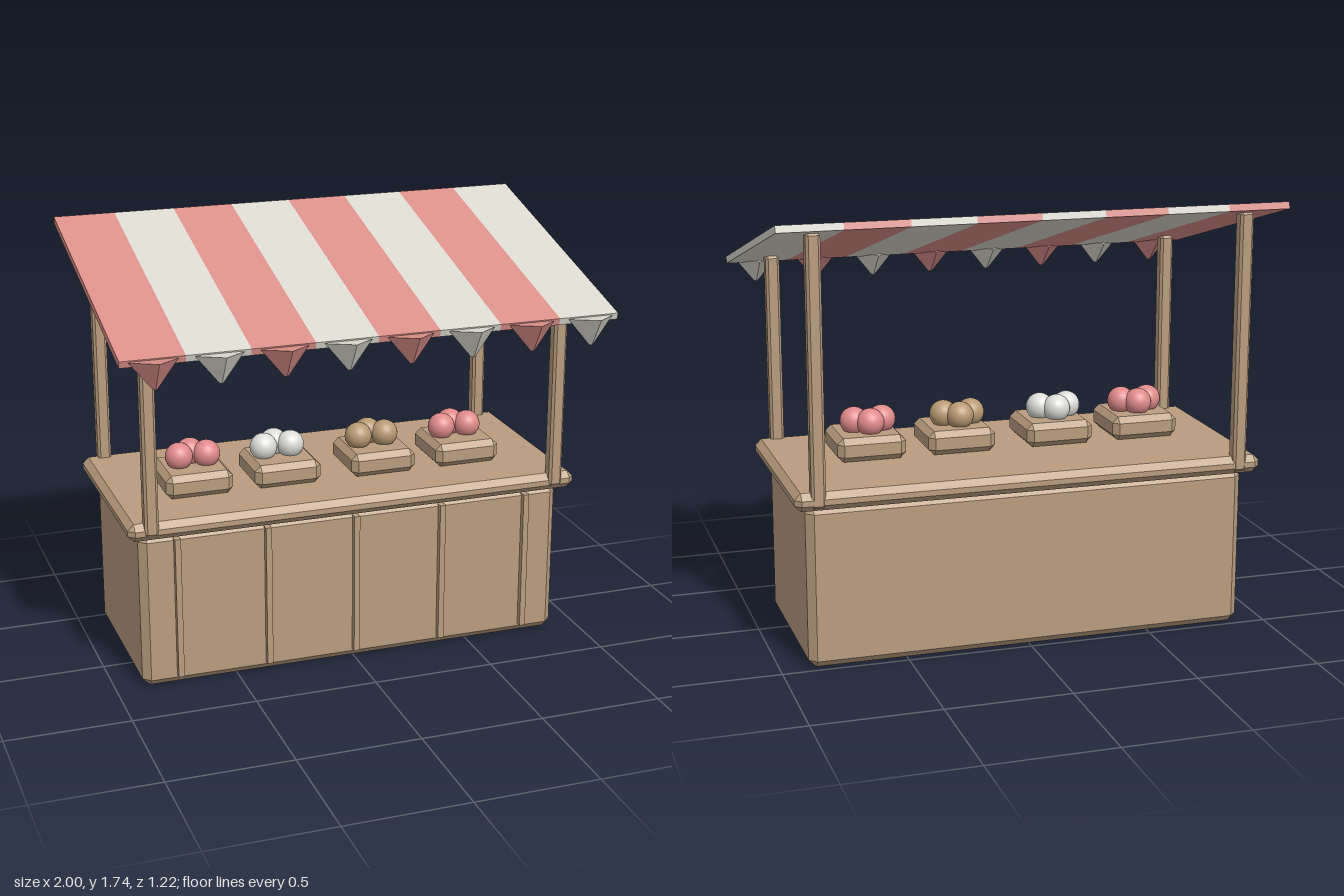
import * as THREE from 'three';
import { ConvexGeometry } from 'three/addons/geometries/ConvexGeometry.js';

const mat = (name, color, flatShading = false) => {
  const m = new THREE.MeshStandardMaterial({ color, flatShading });
  m.name = name;
  return m;
};

// Box with every edge cut at 45 degrees
function chamferBox(w, h, d, b) {
  const pts = [];
  const [x, y, z] = [w / 2, h / 2, d / 2];
  for (const i of [-1, 1]) for (const j of [-1, 1]) for (const k of [-1, 1]) {
    pts.push(
      new THREE.Vector3(i * x, j * (y - b), k * (z - b)),
      new THREE.Vector3(i * (x - b), j * y, k * (z - b)),
      new THREE.Vector3(i * (x - b), j * (y - b), k * z)
    );
  }
  return new ConvexGeometry(pts);
}

export function createModel() {
  const model = new THREE.Group();
  model.name = 'marketStall';

  const wood = mat('wood', 0xb99c7f);
  const redCloth = mat('redCloth', 0xdc908a, true);
  const creamCloth = mat('creamCloth', 0xdcdad0, true);
  const redFruit = mat('redFruit', 0xe08a8a);
  const whiteFruit = mat('whiteFruit', 0xdcdcd8);
  const tanFruit = mat('tanFruit', 0xb89a74);

  const add = (parent, name, geometry, material, x, y, z) => {
    const mesh = new THREE.Mesh(geometry, material);
    mesh.name = name;
    mesh.position.set(x, y, z);
    parent.add(mesh);
    return mesh;
  };

  // Counter: body, worktop and front battens
  add(model, 'counterBody', chamferBox(1.78, 0.65, 0.74, 0.03), wood, 0, 0.325, -0.12);
  add(model, 'counterTop', chamferBox(1.885, 0.072, 0.858, 0.025), wood, 0, 0.684, -0.121);
  const batten = new THREE.BoxGeometry(0.024, 0.59, 0.05);
  for (let i = -2; i <= 2; i++) add(model, 'frontBatten', batten, wood, i * 0.371, 0.335, 0.25);

  // Posts, taller at the back
  for (const side of [-1, 1]) {
    add(model, 'frontPost', chamferBox(0.056, 0.81, 0.056, 0.01), wood, side * 0.852, 1.075, 0.288);
    add(model, 'backPost', chamferBox(0.056, 1.04, 0.056, 0.01), wood, side * 0.852, 1.18, -0.523);
  }

  // Sloping striped awning
  const awning = new THREE.Group();
  awning.name = 'awning';
  awning.position.set(0, 1.58, -0.05);
  awning.rotation.x = Math.PI / 12;
  model.add(awning);

  // Each stripe carries one four-sided pointed flap on its front edge
  const stripe = new THREE.BoxGeometry(0.25, 0.028, 1.145);
  const flap = new THREE.CylinderGeometry(0.094, 0.008, 0.108, 4);
  for (let i = 0; i < 8; i++) {
    const cloth = i % 2 ? creamCloth : redCloth;
    const x = -0.875 + i * 0.25;
    add(awning, 'awningStripe', stripe, cloth, x, 0, 0);
    add(model, 'awningFlap', flap, cloth, x, 1.388, 0.524).rotation.x = -0.125;
  }

  // Crates, each with three round fruits
  const crateShape = chamferBox(0.277, 0.097, 0.277, 0.024);
  const ball = new THREE.SphereGeometry(0.056, 24, 16);
  const crates = [
    [-0.594, redFruit, 0.003],
    [-0.225, whiteFruit, -0.011],
    [0.186, tanFruit, -0.012],
    [0.556, redFruit, -0.012]
  ];
  for (const [x, fruit, shift] of crates) {
    const crate = new THREE.Group();
    crate.name = 'fruitCrate';
    crate.position.set(x, 0, -0.047);
    model.add(crate);
    add(crate, 'crate', crateShape, wood, 0, 0.768, 0);
    for (const [dx, dz] of [[-0.057, 0.003], [0.057, 0.003], [0, -0.042]])
      add(crate, 'fruit', ball, fruit, shift + dx, 0.856, dz);
  }

  return model;
}
